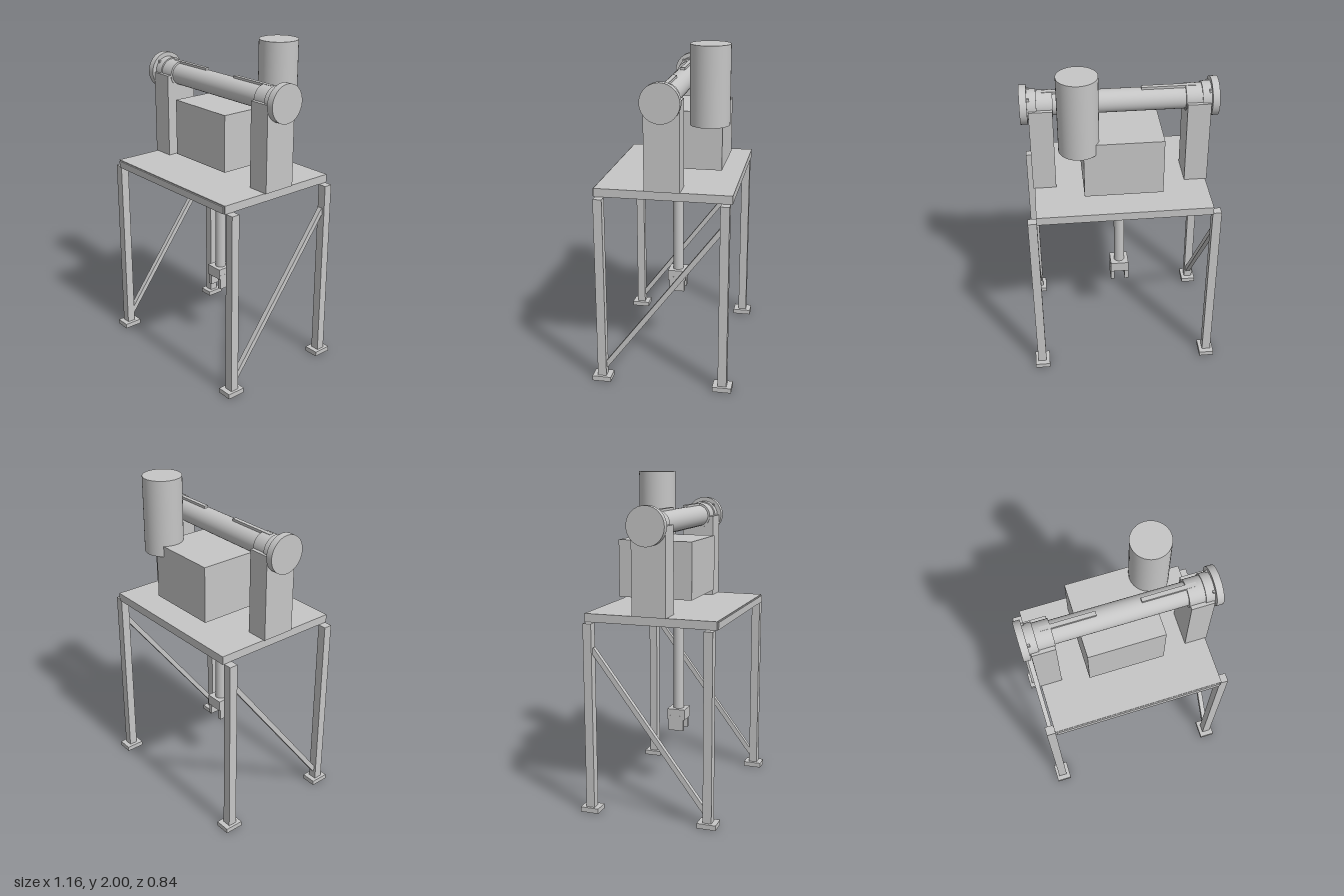
import * as THREE from 'three';

export function createModel() {
  const model = new THREE.Group();
  model.name = 'gantryMachine';
  const grey = new THREE.MeshStandardMaterial({ color: 0xc6c6c6 });
  grey.name = 'machineGrey';

  const add = (name, geometry, x, y, z) => {
    const mesh = new THREE.Mesh(geometry, grey);
    mesh.name = name;
    mesh.position.set(x, y, z);
    model.add(mesh);
    return mesh;
  };
  // box given by its limits on each axis
  const box = (name, x0, x1, y0, y1, z0, z1) =>
    add(name, new THREE.BoxGeometry(x1 - x0, y1 - y0, z1 - z0),
      (x0 + x1) / 2, (y0 + y1) / 2, (z0 + z1) / 2);
  // the same box on the left (+x) or right (-x) side
  const sideBox = (name, s, x0, x1, ...rest) =>
    s > 0 ? box(name, x0, x1, ...rest) : box(name, -x1, -x0, ...rest);
  const axisY = 1.715;
  // cylinder along x between two stations
  const drum = (name, x0, x1, r) => {
    const mesh = add(name, new THREE.CylinderGeometry(r, r, Math.abs(x1 - x0), 48), (x0 + x1) / 2, axisY, 0);
    mesh.rotation.z = Math.PI / 2;
  };

  // table
  box('tableTop', -0.514, 0.514, 1.15, 1.2, -0.402, 0.4);

  for (const s of [-1, 1]) {
    const side = s > 0 ? 'left' : 'right';
    // thin trim on the table front
    sideBox(side + 'FrontTrim', s, 0, 0.505, 1.152, 1.194, 0.4, 0.407);

    // legs and feet
    for (const f of [-1, 1]) {
      const end = side + (f > 0 ? 'Front' : 'Back');
      const z = f * 0.365;
      sideBox(end + 'Leg', s, 0.512, 0.565, 0.03, 1.15, z - 0.026, z + 0.026);
      sideBox(end + 'Foot', s, 0.49, 0.582, 0, 0.03, z - 0.057, z + 0.057);
    }

    // diagonal brace, low at the front and high at the back
    const from = new THREE.Vector3(s * 0.535, 0.09, 0.345);
    const to = new THREE.Vector3(s * 0.535, 1.0, -0.345);
    const brace = add(side + 'Brace', new THREE.BoxGeometry(0.03, 0.03, from.distanceTo(to)), 0, 0, 0);
    brace.position.lerpVectors(from, to, 0.5);
    brace.lookAt(to);

    // pillar with stepped bearing collars and end disc
    sideBox(side + 'Pillar', s, 0.386, 0.523, 1.2, axisY, -0.103, 0.103);
    drum(side + 'InnerCollar', s * 0.382, s * 0.475, 0.08);
    drum(side + 'OuterCollar', s * 0.475, s * 0.53, 0.088);
    drum(side + 'EndDisc', s * 0.528, s * 0.57, 0.114);
    for (const f of [-1, 1]) {
      sideBox(side + 'CollarPin', s, 0.514, 0.53, 1.768, 1.786, f * 0.063 - 0.006, f * 0.063 + 0.006);
    }
    // key strip along the top of the shaft
    sideBox(side + 'ShaftKey', s, 0.128, 0.443, 1.775, 1.796, -0.016, 0.01);
  }

  // cross shaft
  drum('crossShaft', -0.39, 0.39, 0.068);

  // gearbox and motor
  box('gearbox', -0.23, 0.228, 1.26, 1.605, -0.3, 0.16);
  add('motor', new THREE.CylinderGeometry(0.116, 0.116, 0.46, 40), 0.25, 1.77, -0.23);

  // hanging rod with gripper
  add('rod', new THREE.CylinderGeometry(0.033, 0.033, 0.64, 32), 0, 0.84, 0);
  box('gripperBlock', -0.057, 0.057, 0.463, 0.53, -0.056, 0.057);
  for (const s of [-1, 1]) sideBox('gripperFinger', s, 0.034, 0.058, 0.392, 0.488, -0.048, 0.048);

  return model;
}
